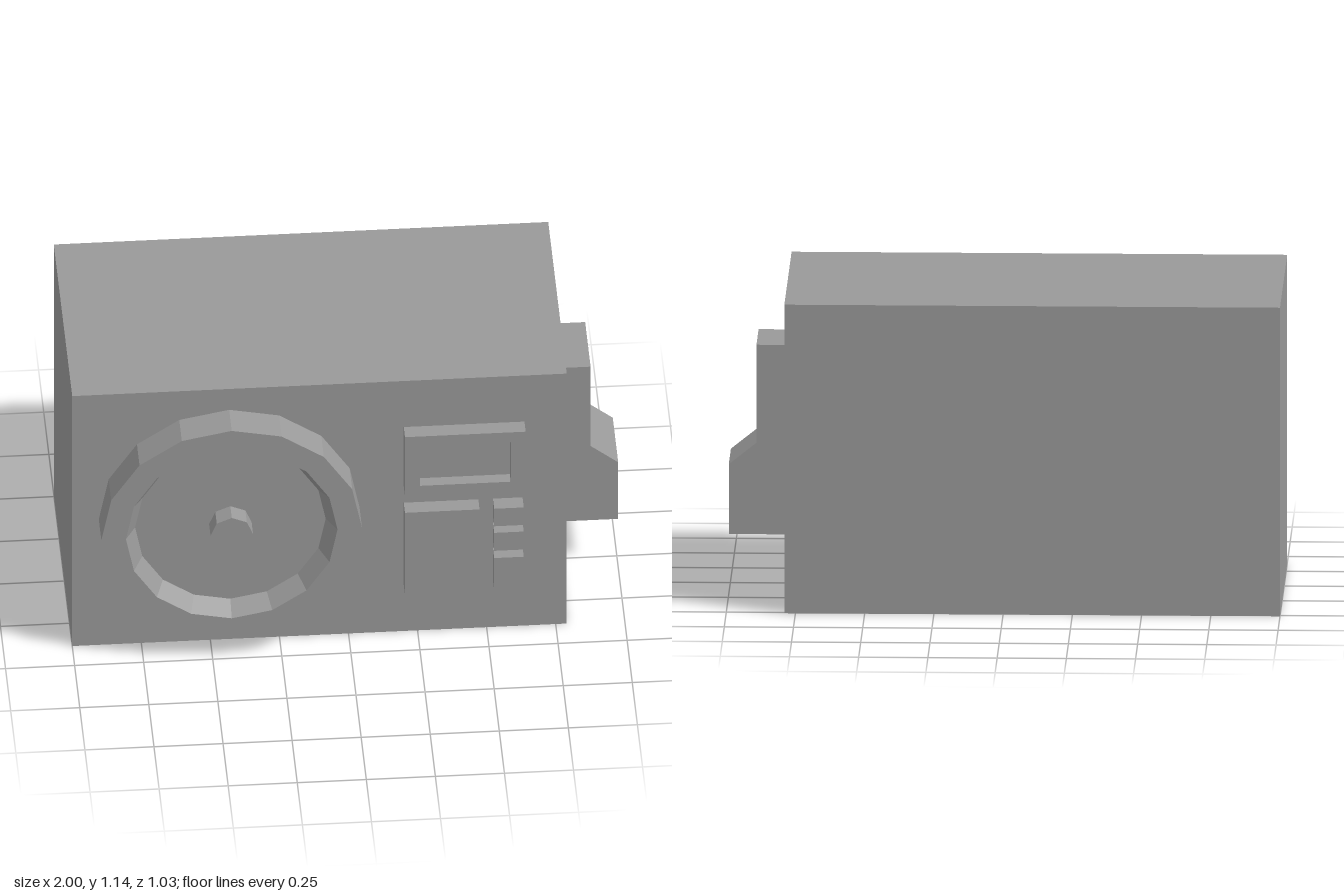
import * as THREE from 'three';

const casing = new THREE.MeshStandardMaterial({ color: 0x999999, flatShading: true });
casing.name = 'casing grey';

const FRONT = 0.385; // z of the front face of the body
const PANEL = 0.445; // z of the raised control panels

function rectangle(PathType, x0, x1, y0, y1) {
  const p = new PathType();
  p.moveTo(x0, y0).lineTo(x1, y0).lineTo(x1, y1).lineTo(x0, y1).closePath();
  return p;
}

export function createModel() {
  const model = new THREE.Group();
  model.name = 'boxWithDial';

  const add = (name, geometry) => {
    const mesh = new THREE.Mesh(geometry, casing);
    mesh.name = name;
    model.add(mesh);
    return mesh;
  };
  const addBox = (name, x0, x1, y0, y1, z0, z1) =>
    add(name, new THREE.BoxGeometry(x1 - x0, y1 - y0, z1 - z0))
      .position.set((x0 + x1) / 2, (y0 + y1) / 2, (z0 + z1) / 2);

  // Main body
  addBox('body', -1, 0.79, 0, 1.14, -0.513, FRONT);

  // Round rim with a sloped inner wall and a recessed floor
  const rim = [[0.472, FRONT], [0.472, 0.51], [0.383, 0.51], [0.345, 0.443], [0, 0.443]]
    .map(([r, h]) => new THREE.Vector2(r, h));
  add('roundRim', new THREE.LatheGeometry(rim, 16).rotateX(Math.PI / 2))
    .position.set(-0.432, 0.573, 0);

  // Hub in the middle of the rim
  add('hub', new THREE.CylinderGeometry(0.077, 0.077, 0.073, 8).rotateX(Math.PI / 2))
    .position.set(-0.432, 0.573, 0.4765);

  // Display frame around a recessed screen
  const frame = rectangle(THREE.Shape, 0.2, 0.637, 0.66, 0.93);
  frame.holes.push(rectangle(THREE.Path, 0.255, 0.583, 0.705, 0.885));
  add('displayFrame', new THREE.ExtrudeGeometry(frame, { depth: PANEL - FRONT, bevelEnabled: false }))
    .position.z = FRONT;
  addBox('displayScreen', 0.255, 0.583, 0.705, 0.885, FRONT - 0.01, 0.4);

  // Control panel and a column of buttons
  addBox('controlPanel', 0.2, 0.47, 0.21, 0.585, FRONT - 0.01, PANEL);
  for (const [y0, y1] of [[0.21, 0.36], [0.393, 0.475], [0.505, 0.585]]) {
    addBox('button', 0.523, 0.63, y0, y1, FRONT - 0.01, PANEL);
  }

  // Stepped bracket on the side
  const bracket = new THREE.Shape([
    [0.79, 0.222], [1, 0.222], [1, 0.48], [0.9, 0.56], [0.9, 0.922], [0.79, 0.922],
  ].map(([x, y]) => new THREE.Vector2(x, y)));
  add('sideBracket', new THREE.ExtrudeGeometry(bracket, { depth: 0.264, bevelEnabled: false }))
    .position.z = -0.195;

  return model;
}
